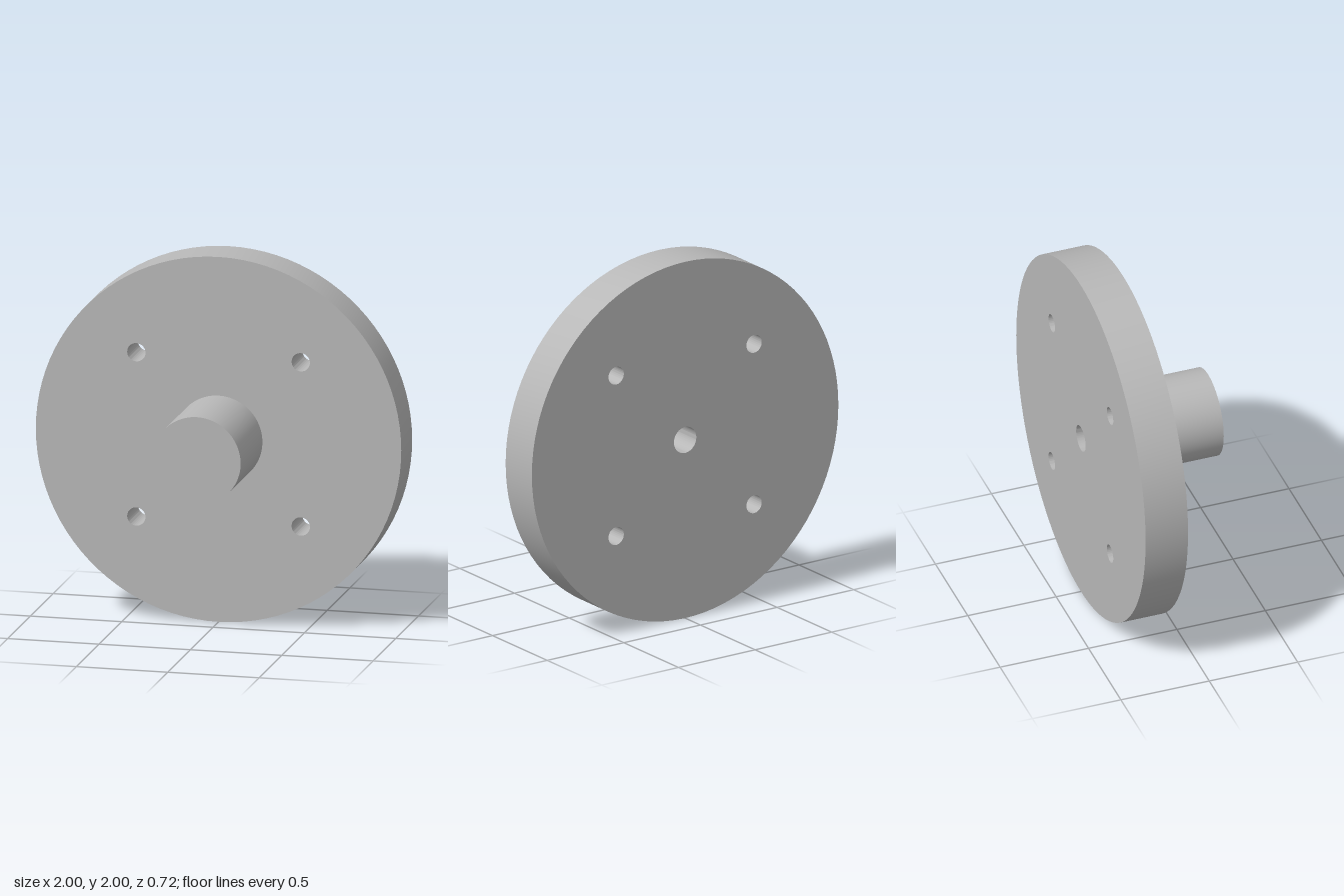
import * as THREE from 'three';
import { toCreasedNormals } from 'three/addons/utils/BufferGeometryUtils.js';

const DISC_R = 1, DISC_BACK = -0.36, DISC_FRONT = -0.12;
const SHAFT_R = 0.24, SHAFT_END = 0.36;
const BORE_R = 0.073, BORE_END = 0.12;
const BOLT_R = 0.05, BOLT_OFFSET = 0.45;

function circle(PathType, x, y, r) {
  return new PathType().absarc(x, y, r, 0, Math.PI * 2, false);
}

// Surface of revolution about the z axis from [radius, z] points
function turned(points) {
  const profile = points.map(([r, z]) => new THREE.Vector2(r, z));
  const geometry = new THREE.LatheGeometry(profile, 96).rotateX(Math.PI / 2);
  return toCreasedNormals(geometry, 0.6);
}

export function createModel() {
  const metal = new THREE.MeshStandardMaterial({ color: 0xb8b8b8 });
  metal.name = 'grey metal';
  const group = new THREE.Group();
  group.name = 'flangedShaft';
  const add = (name, geometry) => {
    const mesh = new THREE.Mesh(geometry, metal);
    mesh.name = name;
    mesh.position.y = DISC_R;
    group.add(mesh);
  };

  // Flange disc with a centre bore and four bolt holes
  const outline = circle(THREE.Shape, 0, 0, DISC_R);
  outline.holes.push(circle(THREE.Path, 0, 0, BORE_R));
  for (const x of [-1, 1]) {
    for (const y of [-1, 1]) {
      outline.holes.push(circle(THREE.Path, x * BOLT_OFFSET, y * BOLT_OFFSET, BOLT_R));
    }
  }
  const disc = new THREE.ExtrudeGeometry(outline, {
    depth: DISC_FRONT - DISC_BACK, bevelEnabled: false, curveSegments: 48,
  }).translate(0, 0, DISC_BACK);
  add('flangeDisc', toCreasedNormals(disc, 0.6));

  // Solid-ended shaft on the front
  add('shaft', turned([[SHAFT_R, DISC_FRONT], [SHAFT_R, SHAFT_END], [0, SHAFT_END]]));

  // Blind bore continuing from the disc into the shaft
  add('blindBore', turned([[0, BORE_END], [BORE_R, BORE_END], [BORE_R, DISC_FRONT]]));

  return group;
}
